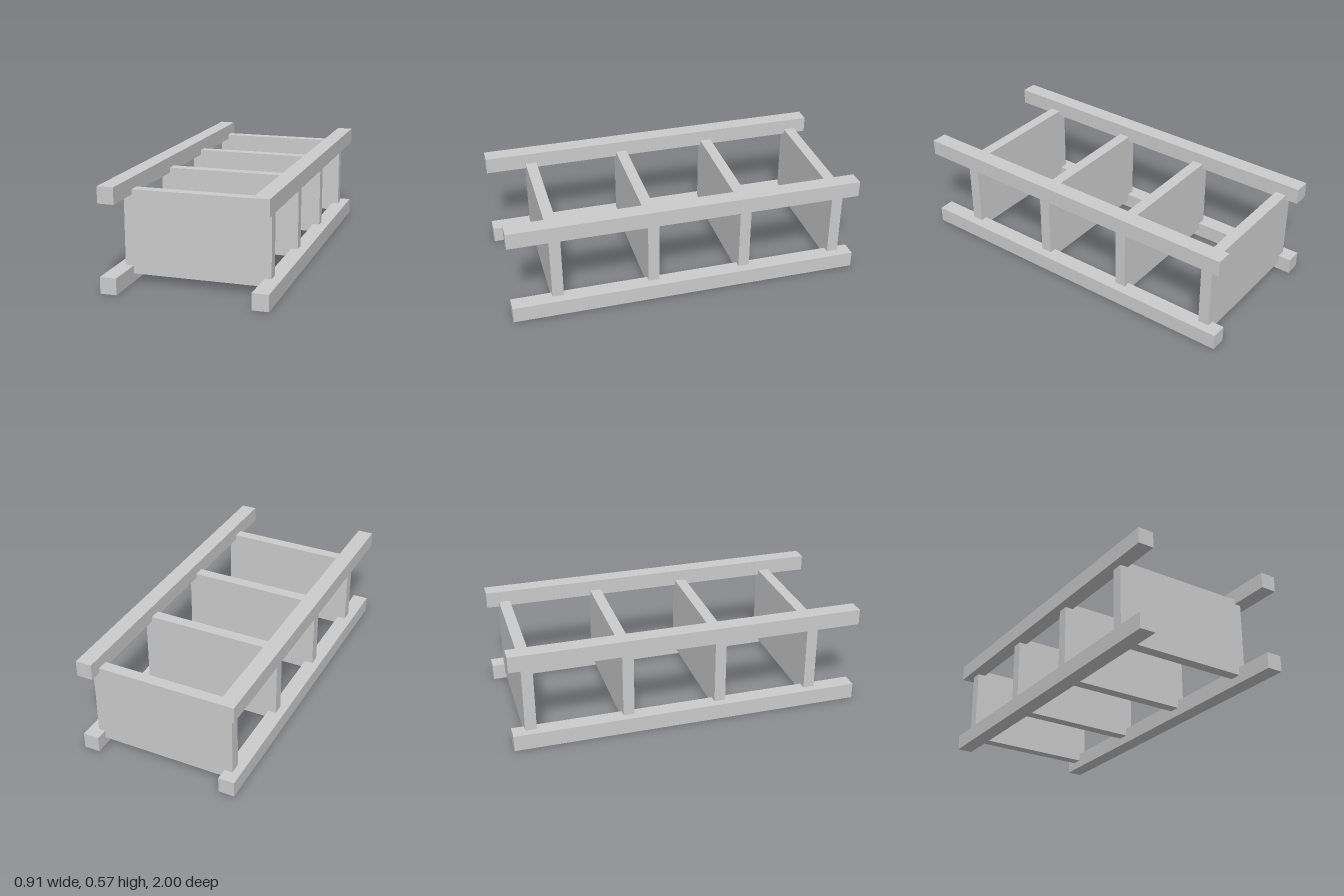
import * as THREE from 'three';

export function createModel() {
  const model = new THREE.Group();
  const material = new THREE.MeshStandardMaterial({ color: 0xcccccc, flatShading: true });

  const addBox = (name, size, position) => {
    const mesh = new THREE.Mesh(new THREE.BoxGeometry(...size), material);
    mesh.name = name;
    mesh.position.set(...position);
    model.add(mesh);
  };

  // Four long square posts, one along each corner
  const post = 0.091;
  for (const [side, x] of [['left', 0.409], ['right', -0.411]]) {
    for (const [level, y] of [['Lower', 0.0455], ['Upper', 0.529]]) {
      addBox(`${side}${level}Post`, [post, post, 2], [x, y, 0]);
    }
  }

  // Four upright shelf boards let into the posts
  [0.738, 0.189, -0.346, -0.897].forEach((z, i) => {
    addBox(`shelf${i + 1}`, [0.814, 0.466, 0.064], [-0.005, 0.279, z]);
  });

  return model;
}
